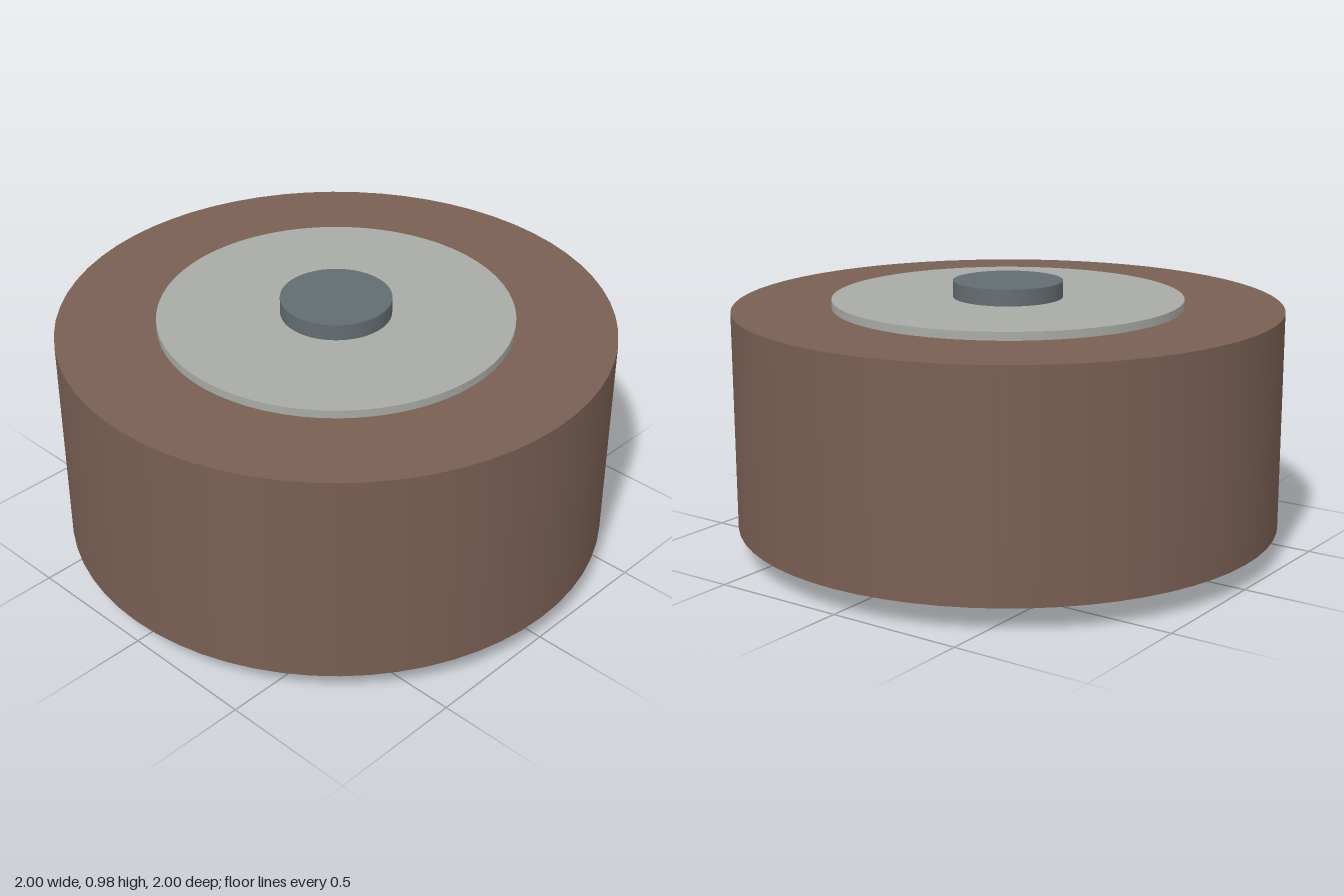
import * as THREE from 'three';

const MID = 0.49; // height of the symmetry plane

function disc(name, radius, height, y, color) {
  const mesh = new THREE.Mesh(
    new THREE.CylinderGeometry(radius, radius, height, 64),
    new THREE.MeshStandardMaterial({ color })
  );
  mesh.name = name;
  mesh.position.y = y;
  return mesh;
}

export function createModel() {
  const model = new THREE.Group();
  model.name = 'roller';

  // Broad roller body
  model.add(disc('rollerBody', 1, 0.8, MID, 0x795f53));

  // Thin side plates and axle stubs, mirrored above and below the body
  for (const [side, s] of [['upper', 1], ['lower', -1]]) {
    model.add(disc(side + 'Plate', 0.64, 0.03, MID + s * 0.415, 0xa8aaa5));
    model.add(disc(side + 'AxleStub', 0.2, 0.06, MID + s * 0.46, 0x626c70));
  }
  return model;
}
